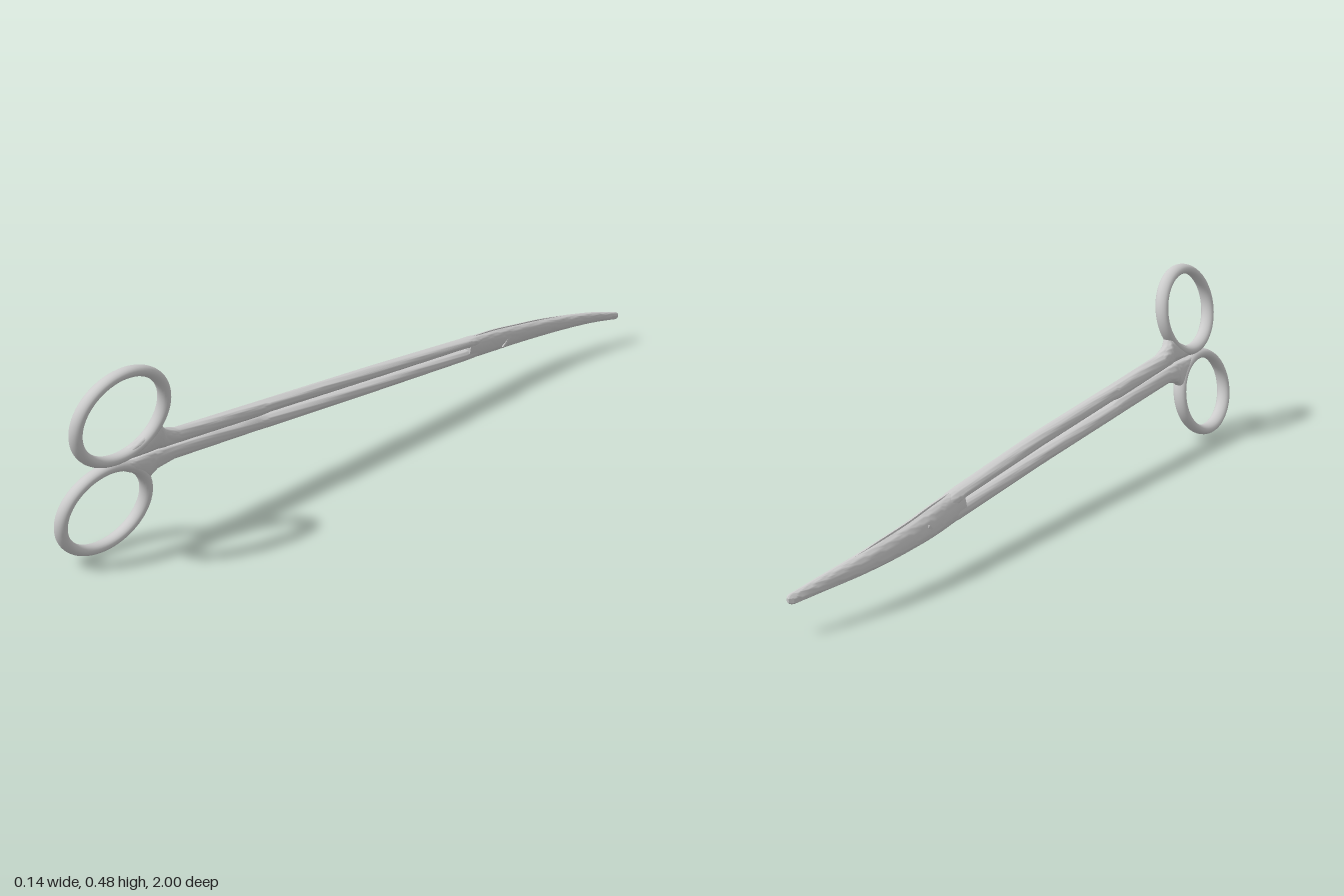
import * as THREE from 'three';
import { toCreasedNormals } from 'three/addons/utils/BufferGeometryUtils.js';
import { ParametricGeometry } from 'three/addons/geometries/ParametricGeometry.js';

const steel = new THREE.MeshStandardMaterial({ color: 0xcccccc });
const LEAN = 0.2; // sideways lean of the whole instrument: x shift per unit of y

// Resample a table of stations smoothly (or linearly), column by column
function resample(rows, steps, smooth) {
  const out = [];
  for (let s = 0; s <= steps; s++) {
    const t = (s / steps) * (rows.length - 1);
    const i = Math.min(Math.floor(t), rows.length - 2);
    out.push(rows[0].map((_, c) => smooth
      ? new THREE.SplineCurve(rows.map(r => new THREE.Vector2(r[c], 0))).getPoint(s / steps).x
      : THREE.MathUtils.lerp(rows[i][c], rows[i + 1][c], t - i)));
  }
  return out;
}

// Loft rounded sections; stations run from +z to -z.
// Station: [z, centre x, seam y, low y, high y, half width, half gap]
// side = +1 / -1 keeps only the left / right half of each section.
function loft(stations, side = 0, n = 28, power = 0.8) {
  const pos = [], idx = [];
  for (const [z, cx, seam, lo, hi, hx, gap] of stations) {
    for (let j = 0; j < n; j++) {
      const a = (j / n) * Math.PI * 2, c = Math.cos(a), s = Math.sin(a);
      let x = hx * Math.sign(c) * Math.abs(c) ** power;
      if (side) x = side * Math.max(side * x, gap);
      const y = (lo + hi) / 2 + (hi - lo) / 2 * Math.sign(s) * Math.abs(s) ** power;
      pos.push(cx + x + LEAN * (y - seam), y, z);
    }
  }
  const last = (stations.length - 1) * n;
  for (let i = 0; i < last; i += n) {
    for (let j = 0; j < n; j++) {
      const k = (j + 1) % n;
      idx.push(i + j, i + n + j, i + k, i + k, i + n + j, i + n + k);
    }
  }
  // End caps
  for (let j = 1; j < n - 1; j++) idx.push(0, j, j + 1, last, last + j + 1, last + j);
  const g = new THREE.BufferGeometry();
  g.setAttribute('position', new THREE.Float32BufferAttribute(pos, 3));
  g.setIndex(idx);
  return toCreasedNormals(g, 0.7);
}

// Oval finger ring with an oval section, leaning sideways
function ringGeometry(y0, z0, ry, rz) {
  return new ParametricGeometry((u, v, p) => {
    const a = -u * Math.PI * 2, b = v * Math.PI * 2;
    const r = 0.0135 * Math.cos(b);
    const y = y0 + (ry + r) * Math.sin(a);
    p.set(0.005 + LEAN * (y - 0.25) + 0.019 * Math.sin(b), y, z0 + (rz + r) * Math.cos(a));
  }, 72, 20);
}

export function createModel() {
  const group = new THREE.Group();
  const add = (name, geometry) => {
    const mesh = new THREE.Mesh(geometry, steel);
    mesh.name = name;
    group.add(mesh);
    return mesh;
  };

  // Finger rings
  add('upperRing', ringGeometry(0.363, 0.84, 0.113, 0.128));
  add('lowerRing', ringGeometry(0.125, 0.863, 0.107, 0.125));

  // Shanks, flaring into the rings: [z, x, seam y, low y, high y, half width]
  const upper = [
    [0.82, 0.004, 0.245, 0.24, 0.262, 0.014],
    [0.76, 0.004, 0.24, 0.238, 0.289, 0.018],
    [0.725, 0.003, 0.237, 0.237, 0.312, 0.018],
    [0.705, 0.002, 0.235, 0.235, 0.287, 0.019],
    [0.66, 0.0, 0.232, 0.233, 0.271, 0.02],
    [0.4, -0.01, 0.212, 0.213, 0.25, 0.02],
    [0.36, -0.011, 0.209, 0.214, 0.247, 0.02],
    [0, -0.023, 0.182, 0.187, 0.219, 0.021],
    [-0.38, -0.041, 0.153, 0.157, 0.182, 0.021],
    [-0.42, -0.044, 0.149, 0.146, 0.179, 0.021],
    [-0.48, -0.047, 0.144, 0.14, 0.168, 0.016],
  ];
  const lower = [
    [0.84, 0.004, 0.245, 0.222, 0.24, 0.014],
    [0.79, 0.004, 0.24, 0.196, 0.236, 0.018],
    [0.745, 0.003, 0.238, 0.162, 0.236, 0.018],
    [0.72, 0.002, 0.236, 0.182, 0.235, 0.019],
    [0.67, 0.0, 0.232, 0.191, 0.232, 0.02],
    [0.4, -0.01, 0.212, 0.173, 0.211, 0.02],
    [0.36, -0.011, 0.209, 0.17, 0.204, 0.02],
    [0, -0.023, 0.182, 0.145, 0.177, 0.021],
    [-0.38, -0.041, 0.153, 0.117, 0.149, 0.021],
    [-0.42, -0.044, 0.149, 0.114, 0.152, 0.021],
    [-0.48, -0.047, 0.144, 0.113, 0.146, 0.016],
  ];
  add('upperShank', loft(resample(upper, 40, false)));
  add('lowerShank', loft(resample(lower, 40, false)));

  // Curved blades, split lengthwise by a fine gap
  const blade = [
    [-0.39, -0.042, 0.15, 0.117, 0.181, 0.021, 0],
    [-0.45, -0.046, 0.143, 0.111, 0.176, 0.022, 0.002],
    [-0.52, -0.05, 0.137, 0.105, 0.169, 0.023, 0.003],
    [-0.6, -0.052, 0.129, 0.1, 0.158, 0.022, 0.003],
    [-0.7, -0.05, 0.12, 0.094, 0.146, 0.02, 0.003],
    [-0.8, -0.043, 0.11, 0.089, 0.132, 0.017, 0],
    [-0.9, -0.029, 0.1, 0.084, 0.117, 0.013, 0],
    [-0.97, -0.015, 0.09, 0.078, 0.103, 0.01, 0],
    [-0.992, -0.009, 0.087, 0.076, 0.098, 0.008, 0],
    [-1, -0.007, 0.086, 0.081, 0.091, 0.003, 0],
  ];
  const bladeStations = resample(blade, 54, true);
  add('leftBlade', loft(bladeStations, 1, 32));
  add('rightBlade', loft(bladeStations, -1, 32));

  // Pivot core bridging the two blades
  add('pivotCore', loft([
    [-0.42, -0.044, 0.147, 0.122, 0.172, 0.012],
    [-0.62, -0.052, 0.127, 0.108, 0.147, 0.012],
  ]));

  // Small slanted step on each face where the blades cross
  for (const side of [1, -1]) {
    const step = add(side > 0 ? 'leftStep' : 'rightStep', new THREE.BoxGeometry(0.004, 0.006, 0.038));
    step.position.set(-0.051 + side * 0.0215, 0.129, -0.545);
    step.rotation.x = 0.7;
  }
  return group;
}
